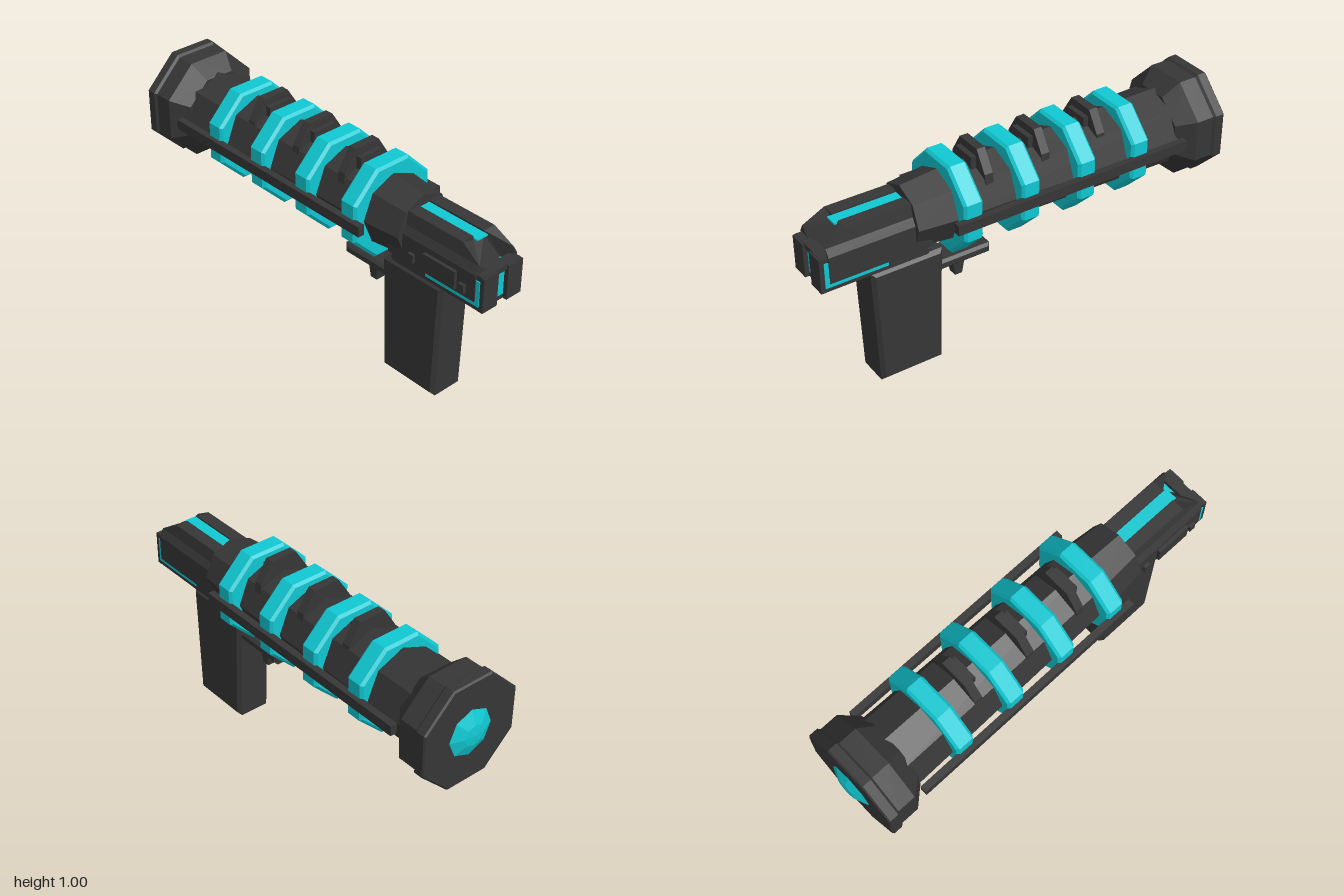
import * as THREE from 'three';

const AXIS = 0.754; // height of the barrel axis
const dark = new THREE.MeshStandardMaterial({ color: 0x363636 });
dark.name = 'charcoal';
const cyan = new THREE.MeshStandardMaterial({ color: 0x10c8d2 });
cyan.name = 'cyan';

export function createModel() {
  const model = new THREE.Group();
  model.name = 'blaster';

  // Adds a faceted mesh
  function add(name, geometry, material) {
    const g = geometry.index ? geometry.toNonIndexed() : geometry;
    g.computeVertexNormals();
    const mesh = new THREE.Mesh(g, material);
    mesh.name = name;
    model.add(mesh);
    return mesh;
  }

  // Box given by its limits on each axis
  function box(name, material, x0, x1, y0, y1, z0, z1) {
    const g = new THREE.BoxGeometry(x1 - x0, y1 - y0, z1 - z0);
    g.translate((x0 + x1) / 2, (y0 + y1) / 2, (z0 + z1) / 2);
    return add(name, g, material);
  }

  // Eight-sided turned part along z; profile is [radius, z] with z rising
  function octagon(name, material, profile, flatTop) {
    const scale = flatTop ? 1 / Math.cos(Math.PI / 8) : 1;
    const g = new THREE.LatheGeometry(profile.map(([r, z]) => new THREE.Vector2(r * scale, z)), 8);
    if (flatTop) g.rotateY(Math.PI / 8);
    g.rotateX(Math.PI / 2);
    g.translate(0, AXIS, 0);
    return add(name, g, material);
  }

  const shapeOf = (pts) => new THREE.Shape(pts.map(([x, y]) => new THREE.Vector2(x, y)));

  // Side outline of [z, y] points, extruded across x with bevelled edges
  function sidePlate(name, material, pts, halfWidth, bevel) {
    const g = new THREE.ExtrudeGeometry(shapeOf(pts), {
      depth: 2 * (halfWidth - bevel), bevelEnabled: true, bevelSegments: 1,
      bevelSize: bevel, bevelThickness: bevel, bevelOffset: -bevel,
    });
    g.translate(0, 0, -(halfWidth - bevel));
    g.rotateY(-Math.PI / 2);
    return add(name, g, material);
  }

  // Barrel and flared rear cap
  octagon('barrel', dark, [[0, -0.78], [0.185, -0.77], [0.165, 0.38], [0.147, 0.56], [0, 0.56]], false);
  octagon('rearCap', dark, [
    [0, -0.97], [0.24, -0.97], [0.247, -0.963], [0.247, -0.922], [0.237, -0.912],
    [0.237, -0.825], [0.172, -0.75], [0, -0.75],
  ], true);
  octagon('rearLens', cyan, [[0, -1], [0.05, -0.995], [0.118, -0.968]], false);

  // Glowing rings round the barrel
  for (const z of [0.335, 0.05, -0.24, -0.525]) {
    octagon('ring', cyan, [
      [0.12, z - 0.046], [0.203, z - 0.046], [0.215, z - 0.034],
      [0.215, z + 0.034], [0.203, z + 0.046], [0.12, z + 0.046],
    ], true);
  }

  // Lugs on top between the rings
  for (const z of [0.205, -0.08, -0.37]) {
    const lug = new THREE.ExtrudeGeometry(shapeOf([
      [-0.13, 0.84], [0.13, 0.84], [0.125, 0.895], [0.065, 0.99], [-0.065, 0.99], [-0.125, 0.895],
    ]), { depth: 0.04, bevelEnabled: false });
    lug.translate(0, 0, z - 0.02);
    add('topLug', lug, dark);
    box('lugFoot', dark, -0.06, 0.06, 0.86, 0.955, z, z + 0.045);
  }

  // Long rails on both sides
  for (const s of [-1, 1]) {
    box('sideRail', dark, s * 0.22 - 0.016, s * 0.22 + 0.016, 0.73, 0.778, -0.77, 0.425);
  }

  // Front housing: grooved section with a sloping upper nose
  const half = [[0.12, 0.64], [0.12, 0.765], [0.1, 0.8], [0.09, 0.86], [0.03, 0.86], [0.03, 0.843]];
  const section = [...half, ...half.map(([x, y]) => [-x, y]).reverse()];
  const housing = new THREE.ExtrudeGeometry(shapeOf(section), { depth: 0.48, bevelEnabled: false });
  housing.translate(0, 0, 0.48);
  const p = housing.attributes.position;
  for (let i = 0; i < p.count; i++) {
    if (p.getZ(i) > 0.9 && p.getY(i) > 0.81) p.setZ(i, 0.86);
  }
  add('housing', housing, dark);
  box('topStrip', cyan, -0.03, 0.03, 0.845, 0.852, 0.54, 0.88);

  // Lower housing with the glowing core showing along its edges
  box('glowCore', cyan, -0.115, 0.115, 0.62, 0.74, 0.69, 0.98);
  box('coreRear', dark, -0.115, 0.115, 0.62, 0.74, 0.5, 0.69);
  sidePlate('underside', dark, [[0.48, 0.625], [0.5, 0.6], [0.98, 0.6], [0.98, 0.625]], 0.112, 0.001);
  box('muzzleBrow', dark, -0.11, 0.11, 0.74, 0.765, 0.94, 0.99);
  for (const s of [-1, 1]) {
    box('muzzlePlate', dark, s * 0.07 - 0.042, s * 0.07 + 0.042, 0.6, 0.762, 0.978, 1);
  }

  // Raised panel and catches on the right side
  box('sidePanel', dark, -0.136, -0.11, 0.655, 0.74, 0.69, 0.865);
  for (const z of [0.62, 0.9]) {
    box('sideCatch', dark, -0.136, -0.11, 0.66, 0.7, z - 0.015, z + 0.015);
  }

  // Grip, trigger plate and trigger
  sidePlate('grip', dark, [[0.735, 0], [0.755, 0.575], [0.41, 0.575], [0.43, 0]], 0.088, 0.017);
  sidePlate('triggerPlate', dark, [[0.43, 0.45], [0.43, 0.498], [0.165, 0.498], [0.165, 0.45]], 0.07, 0.012);
  sidePlate('trigger', dark, [[0.318, 0.36], [0.338, 0.46], [0.262, 0.46], [0.282, 0.36]], 0.025, 0.004);

  return model;
}
